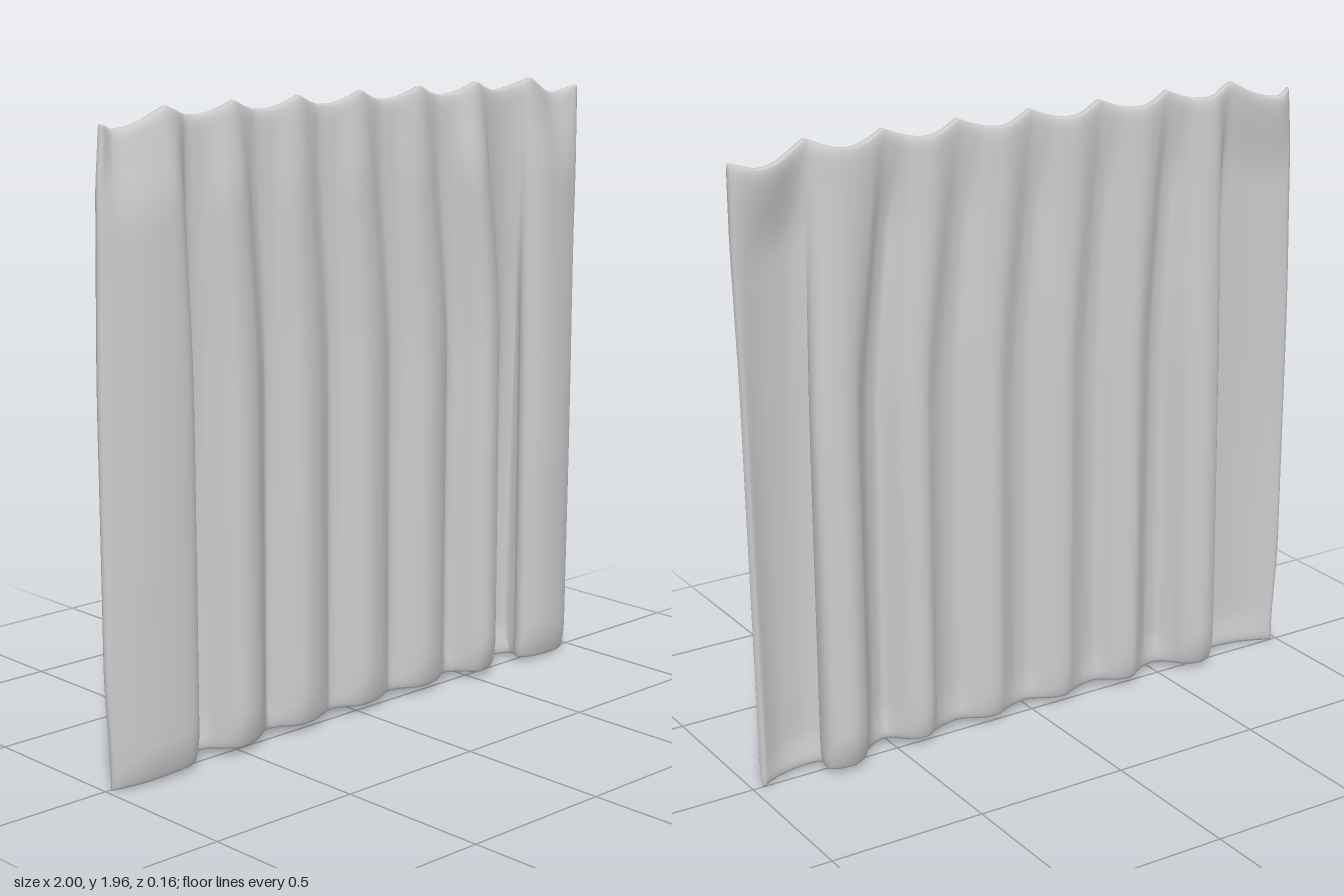
import * as THREE from 'three';

const COLS = 220, HALF = 0.015;

// Fold path points: x and z along the hem, then x and z along the top edge.
function foldPoints() {
  const p = [
    [-0.98, 0.005, -0.965, 0.0], [-0.94, 0.025, -0.92, -0.024], [-0.87, 0.048, -0.85, -0.008],
    [-0.78, 0.056, -0.78, 0.006], [-0.71, 0.048, -0.735, 0.014], [-0.68, 0.01, -0.70, 0.004],
    [-0.685, -0.03, -0.675, -0.008], [-0.64, -0.056, -0.65, -0.01], [-0.59, -0.035, -0.62, -0.006],
    [-0.56, 0.01, -0.59, 0.0],
  ];
  const creases = [-0.41, -0.155, 0.105, 0.365];
  creases.forEach((c, i) => {
    const f = i === 0 ? 0.05 : 0.035, b = i === 0 || i === 3 ? 0.028 : 0.02;
    const t = -0.45 + 0.25 * i;
    p.push([c - 0.11, f, t - 0.1, 0.006], [c - 0.05, 0.85 * f, t - 0.05, 0.012], [c, 0.004, t, 0],
      [c + 0.04, -b, t + 0.045, -0.01], [c + 0.085, -0.5 * b, t + 0.095, -0.004]);
  });
  p.push(
    [0.51, 0.06, 0.45, 0.006], [0.57, 0.046, 0.5, 0.012], [0.615, 0, 0.55, 0],
    [0.645, -0.048, 0.60, -0.01], [0.69, -0.071, 0.65, -0.012], [0.745, -0.048, 0.69, -0.006],
    [0.75, 0.0, 0.72, 0.004], [0.74, 0.036, 0.75, 0.014], [0.80, 0.058, 0.80, 0.004],
    [0.88, 0.05, 0.88, -0.022], [0.935, 0.026, 0.93, -0.016], [0.965, 0.0, 0.975, 0.0]);
  return p;
}

// Scalloped top edge, sagging towards both corners
function topHeight(x) {
  const a = Math.abs(x);
  if (a < 0.75) return 1.965 - 0.035 * Math.abs(Math.sin(Math.PI * x / 0.25));
  if (a < 0.91) return 1.965 - 0.058 * Math.sin((a - 0.75) / 0.16 * Math.PI / 2);
  return 1.907 + 0.02 * Math.min(1, (a - 0.91) / 0.06);
}

function curtainGeometry() {
  const pts = foldPoints();
  const curve = (ix, iz) => new THREE.CatmullRomCurve3(
    pts.map(q => new THREE.Vector3(q[ix], 0, q[iz])), false, 'catmullrom', 0.5).getPoints(COLS);
  const low = curve(0, 1), high = curve(2, 3);
  const smooth = THREE.MathUtils.smoothstep, lerp = THREE.MathUtils.lerp;

  // Rows are closer together at the hem and the top edge
  const rows = [0, 0.004, 0.01, 0.02, 0.04];
  for (let i = 1; i <= 44; i++) rows.push(0.04 + 0.94 * i / 44);
  rows.push(0.99, 0.996, 1);

  const pos = [], idx = [], N = 2 * (COLS + 1);
  rows.forEach(v => {
    const d = 1 - v;                                   // distance below the top
    const xMix = smooth(d, 0, 0.45);
    const frontMix = 0.75 * smooth(d, -0.02, 0.15) + 0.25 * smooth(d, 0, 0.7);
    const backMix = Math.pow(smooth(d, -0.1, 0.95), 0.9);
    const hem = lerp(0.72, 1, smooth(v, 0, 0.05));
    const mid = low.map((l, i) => {
      const h = high[i];
      const m = l.z > 0 ? frontMix : backMix;
      let x = lerp(h.x, l.x, xMix);
      // side edges bow outwards
      const bow = smooth(v, 0, 0.2) * (1 - smooth(v, 0.88, 1));
      x += 0.012 * bow * smooth(-x, 0.85, 0.97);
      x -= 0.03 * bow * smooth(-x, 0.85, 0.97);
      x += 0.022 * v * smooth(x, 0.85, 0.96);
      return [x, lerp(h.z, l.z * hem, m)];
    });
    const rim = 0.45 + 0.55 * Math.sqrt(Math.min(1, Math.min(v, d) / 0.02));
    const side = s => mid.map(([x, z], i) => {
      const a = mid[Math.max(0, i - 1)], b = mid[Math.min(COLS, i + 1)];
      const tx = b[0] - a[0], tz = b[1] - a[1], len = Math.hypot(tx, tz) || 1;
      const end = 0.45 + 0.55 * Math.sqrt(Math.min(1, Math.min(i, COLS - i) / 4));
      const w = s * HALF * rim * end;
      const y0 = 0.03 - 0.028 * Math.pow(Math.min(1, Math.abs(x)), 3);
      return [x - tz / len * w, lerp(y0, topHeight(high[i].x), v), z + tx / len * w];
    });
    pos.push(...side(1).flat(), ...side(-1).reverse().flat());
  });

  // Cloth faces and side edges
  for (let j = 0; j < rows.length - 1; j++) for (let i = 0; i < N; i++) {
    const a = j * N + i, b = j * N + (i + 1) % N;
    idx.push(a, b, b + N, a, b + N, a + N);
  }
  // Hem and top edge strips
  const top = (rows.length - 1) * N;
  for (let i = 0; i < COLS; i++) {
    const f = i, g = i + 1, b = N - 1 - i, c = N - 2 - i;
    idx.push(f, b, c, f, c, g);
    idx.push(top + f, top + c, top + b, top + f, top + g, top + c);
  }
  const geo = new THREE.BufferGeometry();
  geo.setAttribute('position', new THREE.Float32BufferAttribute(pos, 3));
  geo.setIndex(idx);
  geo.computeVertexNormals();
  return geo;
}

export function createModel() {
  const group = new THREE.Group();
  group.name = 'curtain';
  const cloth = new THREE.Mesh(curtainGeometry(),
    new THREE.MeshStandardMaterial({ color: 0xcccccc, side: THREE.DoubleSide }));
  cloth.name = 'pleatedCloth';
  group.add(cloth);
  return group;
}
